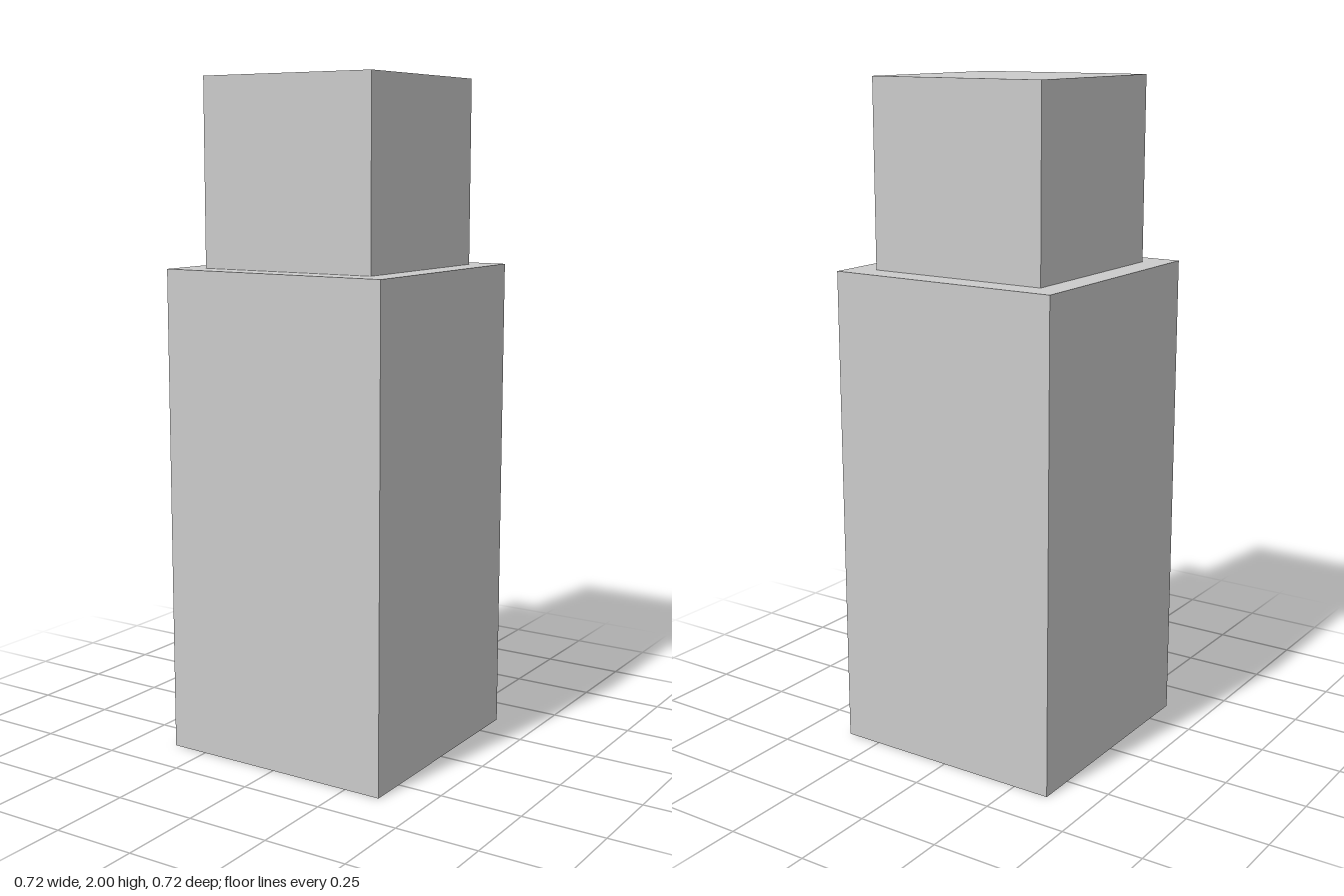
import * as THREE from 'three';

export function createModel() {
  const model = new THREE.Group();
  const material = new THREE.MeshStandardMaterial({ color: 0xcccccc, flatShading: true });

  // Square block standing on height y
  const addBlock = (name, width, height, y) => {
    const block = new THREE.Mesh(new THREE.BoxGeometry(width, height, width), material);
    block.name = name;
    block.position.y = y + height / 2;
    model.add(block);
  };

  const bodyHeight = 1.452;
  addBlock('body', 0.724, bodyHeight, 0);
  addBlock('cap', 0.564, 2 - bodyHeight, bodyHeight);

  return model;
}
